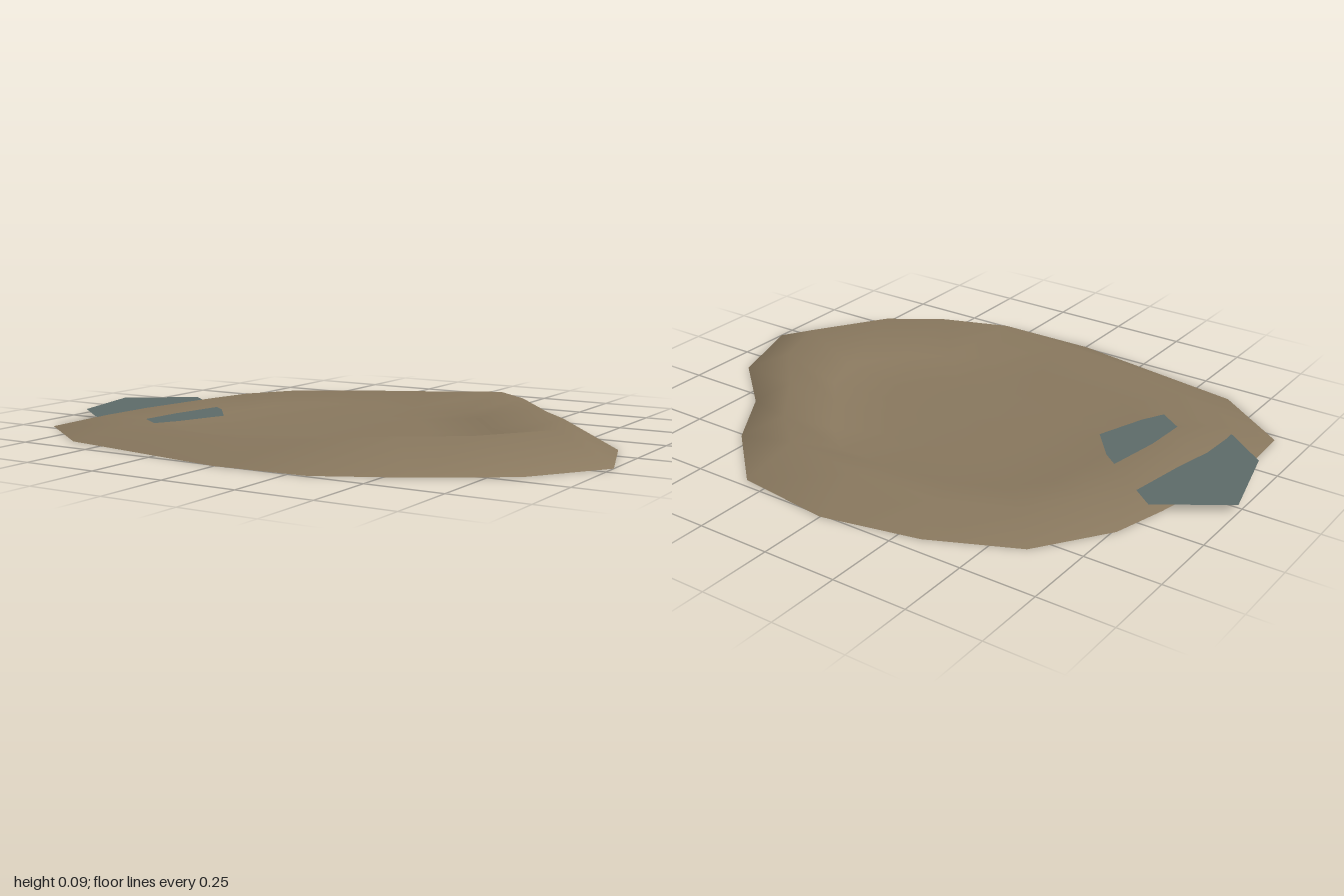
import * as THREE from 'three';

// Foot of the bank, clockwise seen from above: [x, z]
const foot = [
  [0, -0.76], [0.33, -0.72], [0.55, -0.51], [0.69, -0.29], [0.9, -0.1], [1, 0.19],
  [0.83, 0.44], [0.57, 0.61], [0.31, 0.74], [0, 0.76], [-0.63, 0.66], [-0.89, 0.47],
  [-0.9, 0.25], [-0.81, -0.15], [-0.76, -0.33], [-0.6, -0.56], [-0.32, -0.69],
];

// Crest of the bank: [x, height, z]
const crest = [
  [0, 0.06, -0.57], [0.28, 0.08, -0.56], [0.42, 0.082, -0.44], [0.57, 0.085, -0.24],
  [0.73, 0.087, -0.07], [0.8, 0.088, 0.14], [0.64, 0.09, 0.38], [0.46, 0.09, 0.5],
  [0.25, 0.08, 0.6], [0, 0.06, 0.61], [-0.52, 0.045, 0.52], [-0.72, 0.042, 0.38],
  [-0.71, 0.042, 0.2], [-0.66, 0.042, -0.1], [-0.62, 0.042, -0.27],
  [-0.5, 0.043, -0.44], [-0.27, 0.047, -0.54],
];

// Flat outline of the water: [x, z]
const shore = [
  [-1, -0.03], [-0.93, 0.26], [-0.79, 0.37], [-0.58, 0.47],
  [-0.49, 0.3], [-0.43, 0.13], [-0.52, 0.02], [-0.78, -0.18],
];

// Open shell from closed rings, outermost first, closed by a centre point
function ringShell(rings, centre) {
  const n = rings[0].length;
  const positions = [...rings.flat(2), ...centre];
  const index = [];
  const last = rings.length * n;
  rings.forEach((ring, r) => {
    for (let i = 0; i < n; i++) {
      const a = r * n + i;
      const b = r * n + (i + 1) % n;
      if (r === rings.length - 1) index.push(b, a, last);
      else index.push(b, a, a + n, b, a + n, b + n);
    }
  });
  const geometry = new THREE.BufferGeometry();
  geometry.setAttribute('position', new THREE.Float32BufferAttribute(positions, 3));
  geometry.setIndex(index);
  geometry.computeVertexNormals();
  return geometry;
}

export function createModel() {
  const group = new THREE.Group();
  group.name = 'hollow';

  const earth = new THREE.MeshStandardMaterial({ color: 0x8a795f, side: THREE.DoubleSide });
  earth.name = 'earth brown';
  const water = new THREE.MeshStandardMaterial({ color: 0x5e6c6a, side: THREE.DoubleSide });
  water.name = 'murky teal';

  // Earth bank: foot, crest, inner slope and shallow floor
  const floorRing = (scale, y) => crest.map(([x, , z]) => [x * scale, y, z * scale]);
  const basin = new THREE.Mesh(ringShell([
    foot.map(([x, z]) => [x, 0, z]),
    crest,
    floorRing(0.74, 0.018),
    floorRing(0.4, 0.012),
  ], [0, 0.012, 0]), earth);
  basin.name = 'earthBasin';
  group.add(basin);

  // Flat sheet of water cutting through the low side of the bank
  const outline = new THREE.Shape(shore.map(([x, z]) => new THREE.Vector2(x, -z)));
  const pool = new THREE.Mesh(new THREE.ShapeGeometry(outline).rotateX(-Math.PI / 2), water);
  pool.position.y = 0.028;
  pool.name = 'waterSheet';
  group.add(pool);

  return group;
}
